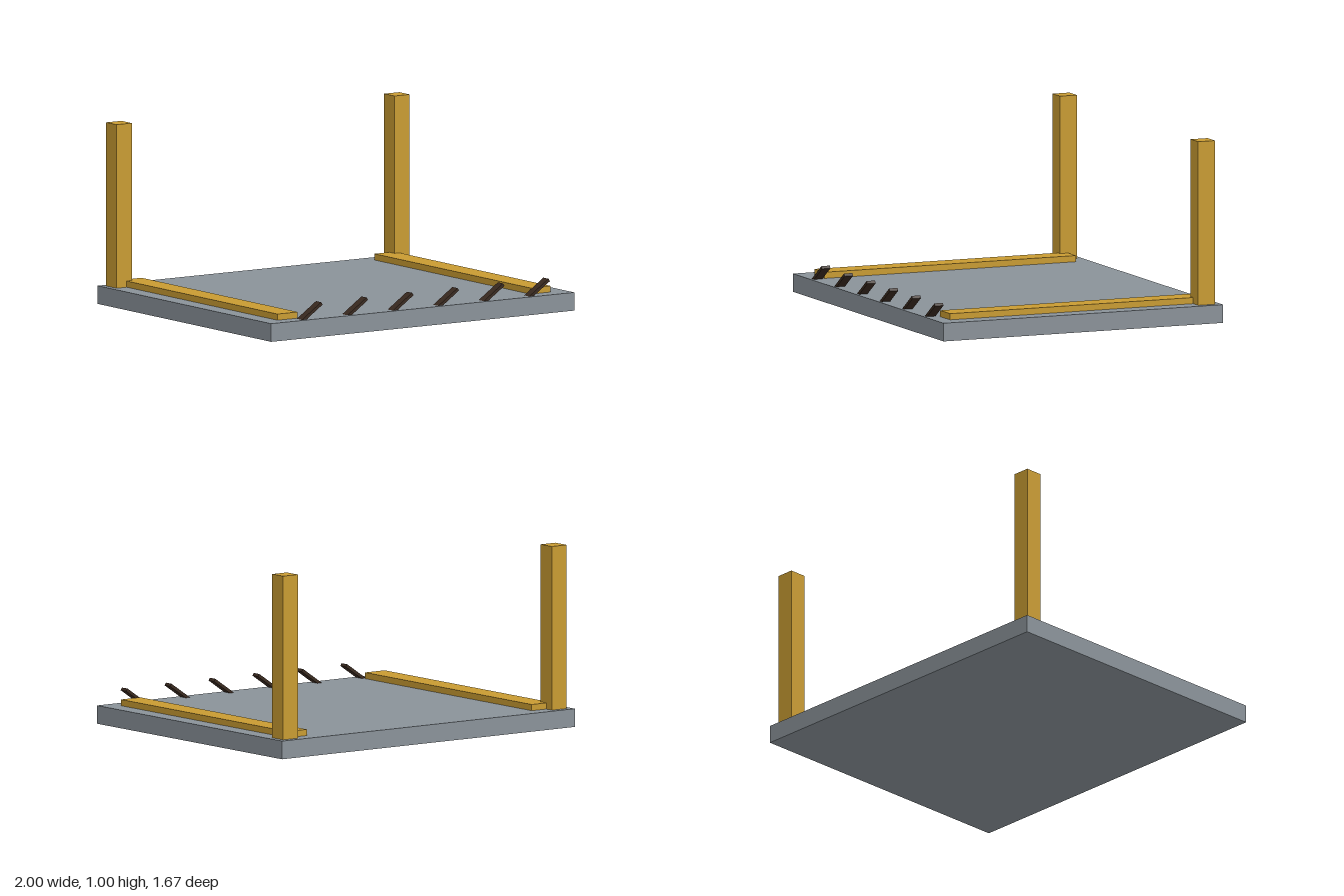
import * as THREE from 'three';

export function createModel() {
  const model = new THREE.Group();
  const mat = (name, color) => {
    const m = new THREE.MeshStandardMaterial({ color });
    m.name = name;
    return m;
  };
  const concrete = mat('grey concrete', 0x8a9299);
  const ochre = mat('ochre paint', 0xc89b32);
  const darkBrown = mat('dark brown', 0x3a2a20);

  const box = (name, material, size, position) => {
    const mesh = new THREE.Mesh(new THREE.BoxGeometry(...size), material);
    mesh.name = name;
    mesh.position.set(...position);
    model.add(mesh);
    return mesh;
  };

  // Floor slab
  box('baseSlab', concrete, [2, 0.1, 1.667], [0, 0.05, 0]);

  // Mirrored rear posts and floor rails
  for (const [side, s] of [['left', 1], ['right', -1]]) {
    box(side + 'Post', ochre, [0.1, 0.9, 0.1], [s * 0.917, 0.55, -0.75]);
    box(side + 'Rail', ochre, [0.133, 0.034, 1.5], [s * 0.834, 0.117, 0]);
  }

  // Row of slanted spikes along the front edge, sunk into the slab
  for (let i = 0; i < 6; i++) {
    const spike = box('spike' + (i + 1), darkBrown, [0.233, 0.0167, 0.05], [-0.75 + i * 0.3, 0.114, 0.792]);
    spike.rotation.z = 0.6;
  }
  return model;
}
